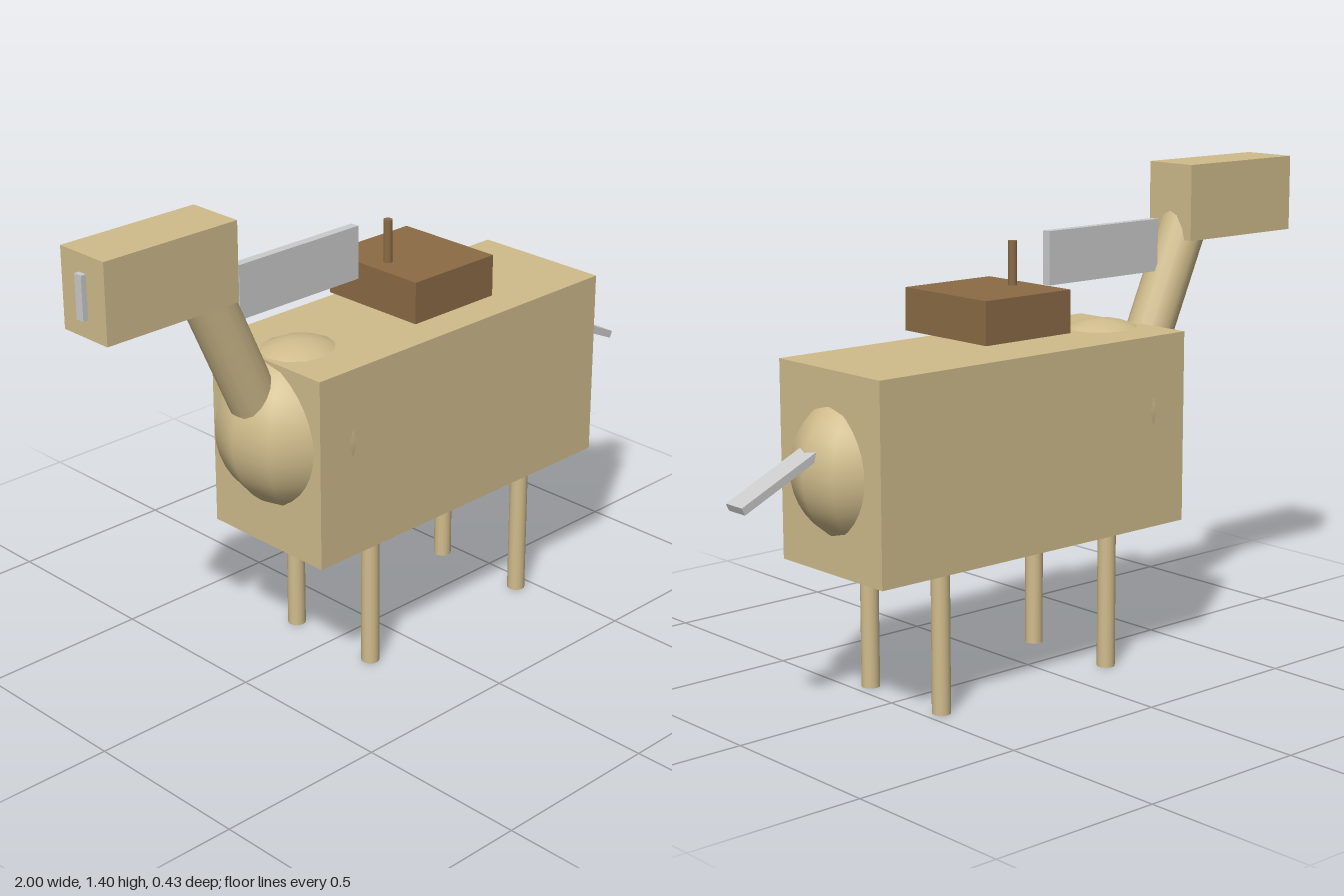
import * as THREE from 'three';

export function createModel() {
  const model = new THREE.Group();
  const hide = new THREE.MeshStandardMaterial({ color: 0xd0bc8c });
  const leather = new THREE.MeshStandardMaterial({ color: 0x8b6b45 });
  const grey = new THREE.MeshStandardMaterial({ color: 0xcccccc });

  const add = (name, geometry, material, x, y, z = 0) => {
    const mesh = new THREE.Mesh(geometry, material);
    mesh.name = name;
    mesh.position.set(x, y, z);
    model.add(mesh);
    return mesh;
  };
  const box = (w, h, d) => new THREE.BoxGeometry(w, h, d);

  // Trunk with rounded chest and rump
  add('body', box(1.1, 0.55, 0.426), hide, 0.145, 0.675);
  add('chest', new THREE.SphereGeometry(0.24, 12, 20), hide, -0.285, 0.736).scale.z = 0.9;
  add('rump', new THREE.SphereGeometry(0.21, 12, 20), hide, 0.576, 0.678).scale.z = 0.87;

  // Leaning neck, head and nose plate
  const neckLean = 0.428;
  add('neck', new THREE.CylinderGeometry(0.069, 0.069, 0.65, 16), hide, -0.505, 0.975).rotation.z = neckLean;
  add('head', box(0.425, 0.22, 0.167), hide, -0.7725, 1.29);
  add('nosePlate', box(0.04, 0.12, 0.026), grey, -0.98, 1.29);

  // Mane and drooping tail
  add('mane', box(0.427, 0.152, 0.026), grey, -0.283, 1.168);
  add('tail', box(0.28, 0.022, 0.07), grey, 0.868, 0.686).rotation.z = -0.435;

  // Saddle and its post
  add('saddle', box(0.305, 0.12, 0.336), leather, 0.147, 1.045);
  add('saddlePost', new THREE.CylinderGeometry(0.013, 0.013, 0.15, 12), leather, 0.056, 1.153);

  // Four legs
  for (const x of [-0.163, 0.451]) {
    for (const z of [-0.153, 0.153]) {
      add('leg', new THREE.CylinderGeometry(0.026, 0.026, 0.41, 16), hide, x, 0.205, z);
    }
  }
  return model;
}
